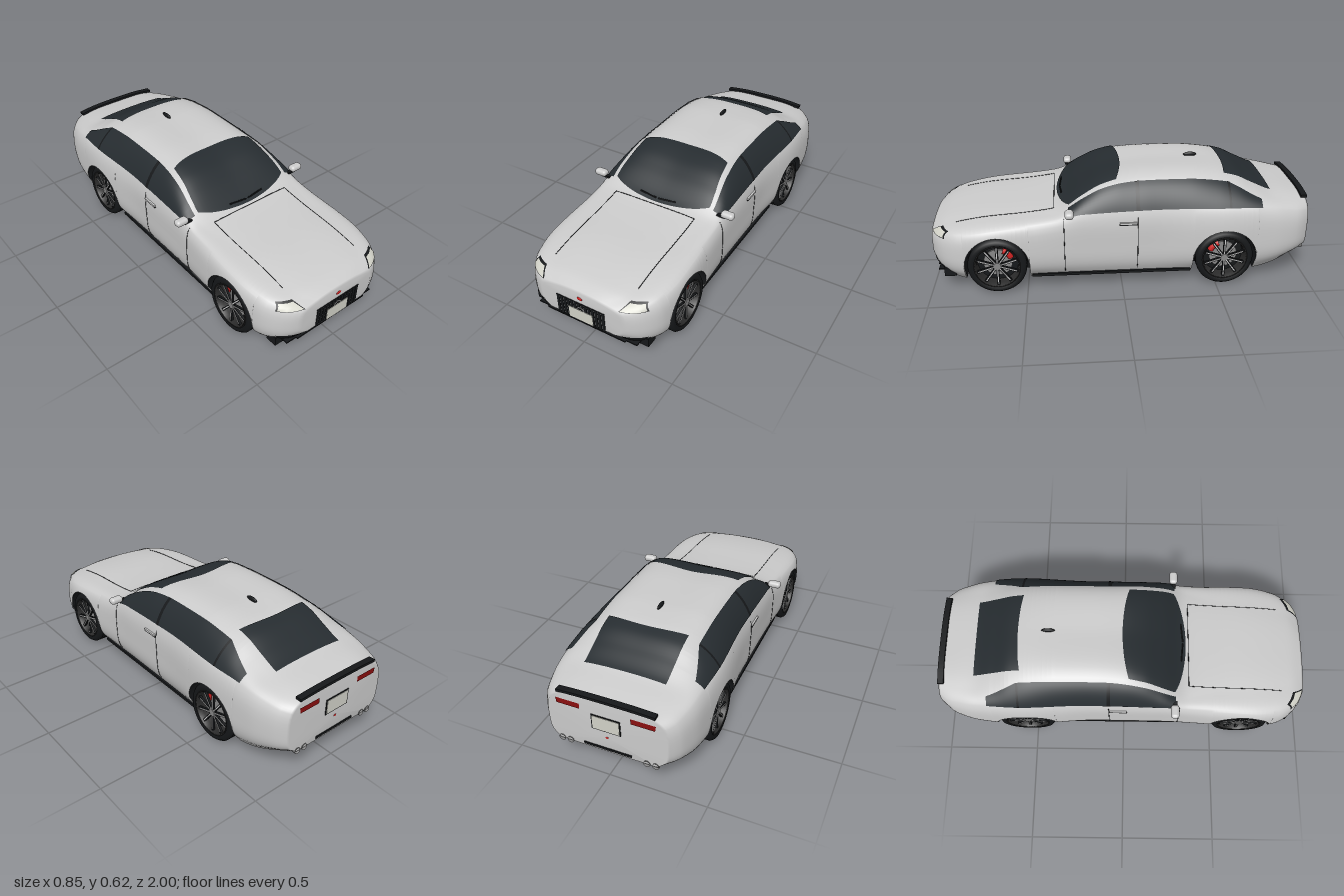
import * as THREE from 'three';
import { RoundedBoxGeometry } from 'three/addons/geometries/RoundedBoxGeometry.js';

const mat = (color) => new THREE.MeshStandardMaterial({ color, side: THREE.DoubleSide });
const GREY = mat(0xcccccc), BLACK = mat(0x16181a), GLASS = mat(0x262c30), DARK = mat(0x2c2c2c);
const RED = mat(0xcc2222), LAMP_RED = mat(0x8a1010), PLATE = mat(0xd2d2c8), STEEL = mat(0x888888);
const V = (x, y, z) => new THREE.Vector3(x, y, z);
const lerp = THREE.MathUtils.lerp;
const WHEEL_Y = 0.154, ARCH_R = 0.167, AXLES = [0.65, -0.54], WELL_X = 0.24, END = 0.995;

// Smooth, non-overshooting curve through [z, value] points
function profile(pts) {
  const n = pts.length;
  const slope = (j) => (pts[j + 1][1] - pts[j][1]) / (pts[j + 1][0] - pts[j][0]);
  const tangent = (j) => {
    if (j === 0) return slope(0);
    if (j === n - 1) return slope(n - 2);
    const a = slope(j - 1), b = slope(j);
    return a * b > 0 ? 2 * a * b / (a + b) : 0;
  };
  return (z) => {
    let i = 0;
    while (i < n - 2 && z < pts[i + 1][0]) i++;
    const h = pts[i + 1][0] - pts[i][0], t = (z - pts[i][0]) / h, t2 = t * t, t3 = t2 * t;
    return pts[i][1] * (2 * t3 - 3 * t2 + 1) + pts[i + 1][1] * (3 * t2 - 2 * t3)
      + h * ((t3 - 2 * t2 + t) * tangent(i) + (t3 - t2) * tangent(i + 1));
  };
}

// Lines running along the body, nose to tail
const floorY = profile([[1, .15], [.92, .088], [.8, .064], [-.65, .062], [-.8, .08], [-1, .15]]);
const floorX = profile([[1, .18], [.92, .28], [.8, .325], [-.7, .33], [-1, .25]]);
const wideX = profile([[1, .215], [.97, .285], [.92, .34], [.85, .377], [.7, .398], [.2, .376], [-.15, .373], [-.55, .402], [-.8, .386], [-.93, .352], [-1, .3]]);
const wideY = (z) => .25 - .04 * THREE.MathUtils.smoothstep(z, .2, .85);
const shoulderY = profile([[1, .28], [.92, .315], [.7, .35], [.34, .39], [.2, .423], [-.4, .434], [-.65, .433], [-1, .38]]);
const shoulderInset = profile([[1, .01], [.9, .025], [.5, .024], [.15, .011], [-.1, .011], [-.5, .024], [-.85, .025], [-1, .012]]);
const topY = profile([[1, .315], [.92, .35], [.7, .388], [.5, .402], [.34, .42], [.2, .507], [.1, .558], [0, .583], [-.15, .594], [-.35, .596], [-.5, .588], [-.6, .57], [-.7, .523], [-.8, .477], [-.9, .458], [-1, .437]]);
const roofX = profile([[1, .12], [.92, .2], [.5, .25], [.28, .295], [.1, .27], [-.1, .252], [-.8, .25], [-1, .225]]);
const roofDrop = profile([[1, .008], [.34, .008], [.2, .014], [-.35, .018], [-.6, .027], [-.8, .017], [-1, .012]]);

// Half section: v = 0 floor edge, 2 widest, 3 shoulder, 4 roof edge, 5 top centre
function section(z) {
  const yb = floorY(z), xb = floorX(z), ym = wideY(z), xm = wideX(z), yt = topY(z), xr = roofX(z), yr = yt - roofDrop(z);
  const curve = new THREE.CatmullRomCurve3([V(xb, yb, z), V(lerp(xb, xm, .8), lerp(yb, ym, .42), z), V(xm, ym, z),
    V(xm - shoulderInset(z), shoulderY(z), z), V(xr, yr, z), V(0, yt, z), V(-xr, yr, z)]);
  return (v) => curve.getPoint(v / 6);
}
const archY = (z) => {
  for (const c of AXLES) {
    const d = Math.abs(z - c);
    if (d <= ARCH_R + 1e-6) return WHEEL_Y + Math.sqrt(Math.max(0, ARCH_R ** 2 - d * d));
  }
  return 0;
};
function lowerV(sec, y) {
  let a = 0, b = 3;
  for (let i = 0; i < 24; i++) { const m = (a + b) / 2; if (sec(m).y < y) a = m; else b = m; }
  return a;
}
// Point on the skin, pushed outward by off
function skin(z, v, side, off) {
  const p = section(z)(v), e = .004;
  const dv = section(z)(v + e).sub(section(z)(v - e)), dz = section(z + e)(v).sub(section(z - e)(v));
  const n = dv.cross(dz).normalize();
  if (n.x * p.x + n.y * (p.y - .25) < 0) n.negate();
  p.addScaledVector(n, off);
  p.x *= side;
  return p;
}

function grid(rows, cols, fn) {
  const pos = [], idx = [];
  for (let i = 0; i <= rows; i++) for (let j = 0; j <= cols; j++) {
    pos.push(...fn(i, j).toArray());
    const a = i * (cols + 1) + j, b = a + cols + 1;
    if (i < rows && j < cols) idx.push(a, a + 1, b, a + 1, b + 1, b);
  }
  const g = new THREE.BufferGeometry();
  g.setAttribute('position', new THREE.Float32BufferAttribute(pos, 3));
  g.setIndex(idx);
  g.computeVertexNormals();
  return g;
}
function add(parent, name, geo, material, x = 0, y = 0, z = 0) {
  const m = new THREE.Mesh(geo, material);
  m.name = name;
  m.position.set(x, y, z);
  parent.add(m);
  return m;
}
const box = (w, h, d) => new THREE.BoxGeometry(w, h, d);

function makeWheel(calliperStart) {
  const g = new THREE.Group();
  const lathe = (pts) => new THREE.LatheGeometry(pts.map((p) => new THREE.Vector2(...p)), 48).rotateZ(-Math.PI / 2);
  const tread = [];
  for (const y of [-.03, -.01, .01, .03]) tread.push([.153, y - .003], [.148, y - .002], [.148, y + .002], [.153, y + .003]);
  add(g, 'tyre', lathe([[.112, -.055], [.142, -.057], [.153, -.046], ...tread, [.153, .046], [.142, .06], [.122, .061], [.116, .052]]), BLACK);
  add(g, 'rim', lathe([[.116, .052], [.12, .06], [.113, .058], [.108, .03], [.105, -.05]]), DARK);
  add(g, 'rimBacking', new THREE.CylinderGeometry(.108, .108, .008, 40).rotateZ(Math.PI / 2), BLACK, -.01);
  add(g, 'brakeDisc', new THREE.CylinderGeometry(.075, .075, .01, 40).rotateZ(Math.PI / 2), STEEL, .005);
  add(g, 'brakeCalliper', new THREE.TorusGeometry(.075, .016, 8, 12, .8).rotateZ(calliperStart).rotateY(Math.PI / 2), RED, .014);
  for (let i = 0; i < 10; i++) {
    const a = i * Math.PI / 5;
    add(g, 'spoke', box(.012, .1, .014).translate(.043, .062, 0).rotateX(a), BLACK);
    add(g, 'spokeFace', box(.003, .092, .005).translate(.05, .058, 0).rotateX(a), GREY);
  }
  add(g, 'hub', new THREE.CylinderGeometry(.02, .024, .016, 10).rotateZ(-Math.PI / 2), STEEL, .046);
  return g;
}

export function createModel() {
  const car = new THREE.Group();
  car.name = 'car';

  // Body skin with the lower edge trimmed by the wheel arches
  const zs = [.985, -.985];
  for (let i = 0; i <= 80; i++) zs.push(lerp(END, -END, i / 80));
  const archZ = (c) => Array.from({ length: 25 }, (_, i) => c + ARCH_R * Math.cos(i * Math.PI / 24));
  for (const c of AXLES) zs.push(...archZ(c), c + ARCH_R + .0005, c - ARCH_R - .0005);
  zs.sort((a, b) => b - a);
  const rows = zs.map((z) => {
    const sec = section(z), y = archY(z), v0 = y ? lowerV(sec, y) : 0, half = [];
    for (let k = 0; k < 14; k++) half.push(sec(lerp(v0, 3, k / 14)));
    for (let k = 0; k <= 16; k++) half.push(sec(3 + k / 8));
    return [...half, ...half.slice(0, -1).reverse().map((p) => V(-p.x, p.y, p.z))];
  });
  const endRow = (z) => rows[0].map(() => V(0, .24, z));
  rows.unshift(endRow(END));
  rows.push(endRow(-END));
  const body = add(car, 'body', grid(rows.length - 1, rows[0].length - 1, (i, j) => rows[i][j]), GREY);
  add(car, 'floor', grid(zs.length + 1, 2, (i, j) => {
    if (i === 0 || i > zs.length) return V(0, .24, i ? -END : END);
    const z = zs[i - 1];
    return V((j - 1) * (archY(z) ? WELL_X : floorX(z)), floorY(z), z);
  }), GREY);

  // Wheel wells and wheels
  AXLES.forEach((c, n) => {
    const az = [c + ARCH_R + .0005, ...archZ(c), c - ARCH_R - .0005];
    for (const s of [1, -1]) {
      add(car, 'wheelWell', grid(az.length - 1, 2, (i, j) => {
        const z = az[i], yb = floorY(z), y = archY(z), sec = section(z);
        if (j === 0) return V(s * WELL_X, yb, z);
        return V(s * (j === 1 ? WELL_X : y ? sec(lowerV(sec, y)).x : floorX(z)), y || yb, z);
      }), BLACK);
      const w = makeWheel(n ? Math.PI - 1.2 : .4);
      w.name = n ? 'rearWheel' : 'frontWheel';
      w.position.set(s * .322, WHEEL_Y, c);
      w.scale.x = s;
      car.add(w);
    }
  });

  // Glass
  const glass = (name, zA, zB, reach) => add(car, name, grid(16, 24, (i, j) => {
    const s = j / 12 - 1;
    return skin(lerp(zA(s), zB(s), i / 16), 5 - Math.abs(s) * reach, Math.sign(s) || 1, .004);
  }), GLASS);
  glass('windscreen', (s) => .335 - .065 * s * s, (s) => -.01 + .035 * s * s, .95);
  glass('rearWindow', (s) => -.56 + .018 * s * s, () => -.8, .82);
  const topV = (z) => z > -.56 ? 3.88 : lerp(3.88, 3.45, (-.56 - z) / .17);
  const sidePatch = (name, zA, zB, n, off, m) => {
    for (const s of [1, -1]) add(car, name, grid(n, 8, (i, j) => {
      const z = lerp(zA, zB, i / n);
      return skin(z, lerp(3.04, topV(z), j / 8), s, off);
    }), m);
  };
  sidePatch('sideWindow', .275, -.725, 50, .004, GLASS);
  sidePatch('doorPillar', -.07, -.09, 1, .006, BLACK);
  sidePatch('rearPillar', -.55, -.562, 1, .006, BLACK);

  // Draping of details onto the body
  const ray = new THREE.Raycaster();
  const drape = (origin, dir, off, fallback) => {
    ray.set(origin, dir);
    const hit = ray.intersectObject(body)[0];
    return (hit ? hit.point : fallback).clone().addScaledVector(dir, -off);
  };
  const endPanel = (name, end, [a, b, c, d], m, off) => add(car, name, grid(4, 10, (i, j) => {
    const u = j / 10, w = i / 4;
    const x = lerp(lerp(a[0], b[0], u), lerp(d[0], c[0], u), w), y = lerp(lerp(a[1], b[1], u), lerp(d[1], c[1], u), w);
    return drape(V(x, y, end * 2), V(0, 0, -end), off, V(x, y, end * .9));
  }), m);
  const seam = (name, from, to, dir) => {
    const pts = [];
    for (let i = 0; i <= 14; i++) { const p = from.clone().lerp(to, i / 14); pts.push(drape(p, dir, 0, p)); }
    add(car, name, new THREE.TubeGeometry(new THREE.CatmullRomCurve3(pts), 40, .0018, 5), BLACK);
  };
  const DOWN = V(0, -1, 0);
  seam('bonnetRearSeam', V(-.24, 1, .35), V(.24, 1, .35), DOWN);

  for (const s of [1, -1]) {
    seam('bonnetSeam', V(s * .24, 1, .35), V(s * .24, 1, .86), DOWN);
    for (const z of [.3, -.08]) seam('doorSeam', V(s, .1, z), V(s, .405, z), V(-s, 0, 0));

    // Headlights, intakes and tail lights
    const quad = (pts) => pts.map(([x, y]) => [s * x, y]);
    endPanel('headlightSurround', 1, quad([[.213, .303], [.333, .303], [.314, .336], [.244, .337]]), BLACK, .004);
    endPanel('headlight', 1, quad([[.22, .307], [.328, .307], [.311, .332], [.247, .333]]), PLATE, .008);
    endPanel('frontIntake', 1, quad([[.222, .095], [.3, .1], [.33, .15], [.222, .15]]), BLACK, .004);
    add(car, 'frontBlade', box(.107, .05, .06), BLACK, s * .277, .108, .9);
    endPanel('tailLight', -1, quad([[.13, .37], [.25, .37], [.255, .4], [.13, .4]]), LAMP_RED, .004);

    // Door mirror and handle
    add(car, 'mirrorStem', box(.05, .012, .02), BLACK, s * .355, .43, .275);
    add(car, 'doorMirror', new RoundedBoxGeometry(.072, .036, .045, 4, .017), GREY, s * .389, .443, .272);
    const h = drape(V(s, .373, -.03), V(-s, 0, 0), 0, V(s * .37, .373, -.03)).x;
    add(car, 'doorHandle', box(.012, .009, .09), GREY, h + s * .003, .376, -.03);
    add(car, 'handleShadow', box(.01, .005, .095), BLACK, h + s * .002, .368, -.03);

    // Sills, underbody strips, twin tail pipes and wiper
    add(car, 'sideSkirt', box(.03, .014, .84), BLACK, s * .338, .079, .055);
    add(car, 'underbodyStrip', box(.012, .012, .75), BLACK, s * .28, .062, .05);
    for (const x of [.2, .245]) {
      add(car, 'tailPipe', new THREE.CylinderGeometry(.017, .017, .09, 20, 1, true).rotateX(Math.PI / 2), STEEL, s * x, .152, -.954);
      add(car, 'tailPipeBore', new THREE.CircleGeometry(.016, 20), BLACK, s * x, .152, -.985);
    }
    const wiper = [0, .33, .67, 1].map((t) => skin(.315 - .01 * t, 5 - lerp(.02, .34, t), s, .01));
    add(car, 'wiper', new THREE.TubeGeometry(new THREE.CatmullRomCurve3(wiper), 12, .004, 6), BLACK);
  }

  // Grille, number plate, tow ring, badges and splitter
  for (let i = 0; i < 14; i++) add(car, 'grilleBar', box(.0155, .113, .006), BLACK, -.13 + i * .02, .198, .995);
  for (const y of [.143, .253]) add(car, 'grilleRail', box(.28, .005, .006), BLACK, 0, y, .995);
  add(car, 'frontPlate', box(.138, .068, .006), PLATE, 0, .178, .997);
  add(car, 'towRing', new THREE.TorusGeometry(.022, .003, 8, 20, Math.PI), GREY, 0, .206, .997);
  const badge = (z, r, y) => add(car, 'badge', new THREE.SphereGeometry(r, 20, 10).scale(1, .65, .25), RED, 0, y, z);
  badge(.995, .015, .284);
  badge(-.995, .009, .235);
  add(car, 'frontSplitter', box(.58, .007, .1), BLACK, 0, .103, .915);
  add(car, 'splitterLip', box(.46, .007, .05), BLACK, 0, .103, .95);

  // Rear lip spoiler, plate and diffuser
  const lip = new THREE.CatmullRomCurve3([V(-.25, .438, -.98), V(-.13, .447, -.984), V(.13, .447, -.984), V(.25, .438, -.98)]);
  const lipShape = new THREE.Shape([[-1, -1], [1, -1], [1, 1], [-1, 1]].map(([x, y]) => new THREE.Vector2(x * .016, y * .007)));
  add(car, 'rearSpoiler', new THREE.ExtrudeGeometry(lipShape, { steps: 24, extrudePath: lip }), BLACK);
  add(car, 'rearPlateFrame', box(.15, .085, .006), BLACK, 0, .315, -.995);
  add(car, 'rearPlate', box(.138, .074, .006), PLATE, 0, .315, -.997);
  add(car, 'diffuserStrip', box(.25, .012, .02), BLACK, 0, .165, -.989);
  add(car, 'diffuser', grid(1, 1, (i, j) => {
    const z = i ? -.9 : -.985;
    return V((j - .5) * (i ? .16 : .22), floorY(z) - .004, z);
  }), BLACK);
  for (const x of [-.12, -.04, .04, .12]) add(car, 'diffuserFin', box(.006, .022, .08), BLACK, x, .068, -.74);

  // Roof aerial
  add(car, 'roofAerial', new THREE.SphereGeometry(1, 16, 12).scale(.009, .013, .036), BLACK, 0, .603, -.4);
  return car;
}
